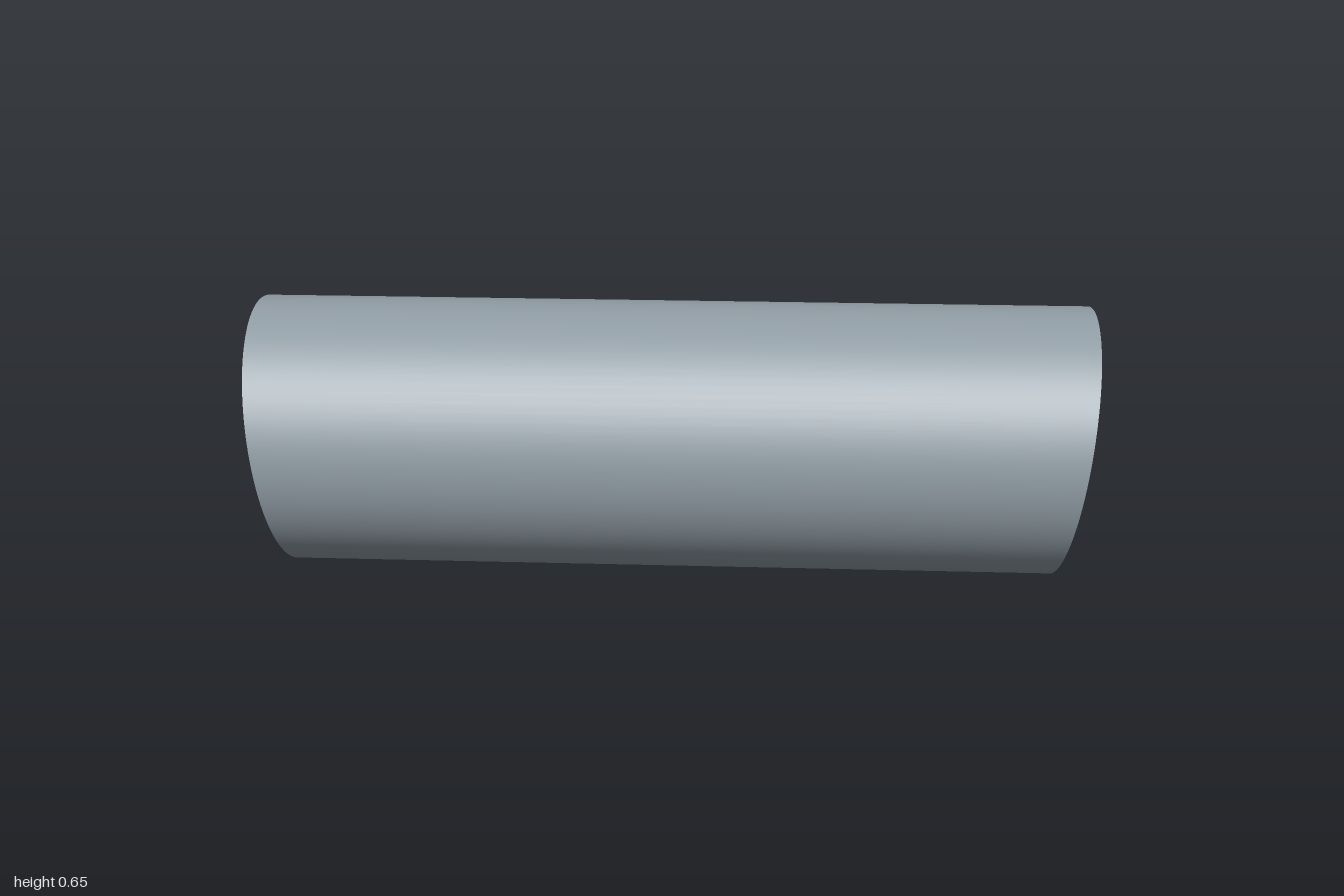
import * as THREE from 'three';
import { toCreasedNormals } from 'three/addons/utils/BufferGeometryUtils.js';

const R = 0.3235;        // outer radius, also the height of the axis
const INNER = 0.302;     // inner radius
const HALF = 0.957;      // half length along the axis
const SLANT = 0.0425;    // how far the ends lean out at the top

// distance of the slanted end plane from the middle at height y above the axis
const endAt = (y) => HALF + SLANT * (y / R);

// moves every vertex of a geometry by a rule
function reshape(geometry, rule) {
  const p = geometry.attributes.position;
  const v = new THREE.Vector3();
  for (let i = 0; i < p.count; i++) {
    rule(v.fromBufferAttribute(p, i));
    p.setXYZ(i, v.x, v.y, v.z);
  }
  geometry.computeVertexNormals();
  return geometry;
}

export function createModel() {
  const shellGrey = new THREE.MeshStandardMaterial({ color: 0x8f9ba3 });
  const floorGrey = new THREE.MeshStandardMaterial({ color: 0x68686e });
  shellGrey.name = 'shellGrey';
  floorGrey.name = 'floorGrey';

  const group = new THREE.Group();
  group.name = 'tunnelTube';

  // hollow shell with both ends cut at a slant
  const profile = [[R, -1], [R, 1], [INNER, 1], [INNER, -1], [R, -1]]
    .map(([x, y]) => new THREE.Vector2(x, y));
  const shellGeometry = new THREE.LatheGeometry(profile, 96).rotateZ(-Math.PI / 2);
  reshape(shellGeometry, (v) => { v.x = Math.sign(v.x) * endAt(v.y); });
  const shell = new THREE.Mesh(toCreasedNormals(shellGeometry, 0.6), shellGrey);
  shell.name = 'shell';
  group.add(shell);

  // floor slab fitted to the inner wall, its ends hollowed in a shallow arc
  const floorGeometry = new THREE.BoxGeometry(2, 2, 2, 1, 1, 32);
  reshape(floorGeometry, (v) => {
    const y = (v.y > 0 ? 0.161 : 0.135) - R;
    const halfWidth = Math.sqrt(INNER * INNER - y * y);
    v.x = Math.sign(v.x) * (endAt(y) - 0.045 * (1 - v.z * v.z));
    v.y = y;
    v.z *= halfWidth;
  });
  const floor = new THREE.Mesh(floorGeometry, floorGrey);
  floor.name = 'floor';
  group.add(floor);

  // the whole tube is turned slightly and rests on the ground
  group.rotation.y = -0.0275;
  group.position.y = R;

  const model = new THREE.Group();
  model.name = 'tunnel';
  model.add(group);
  return model;
}
